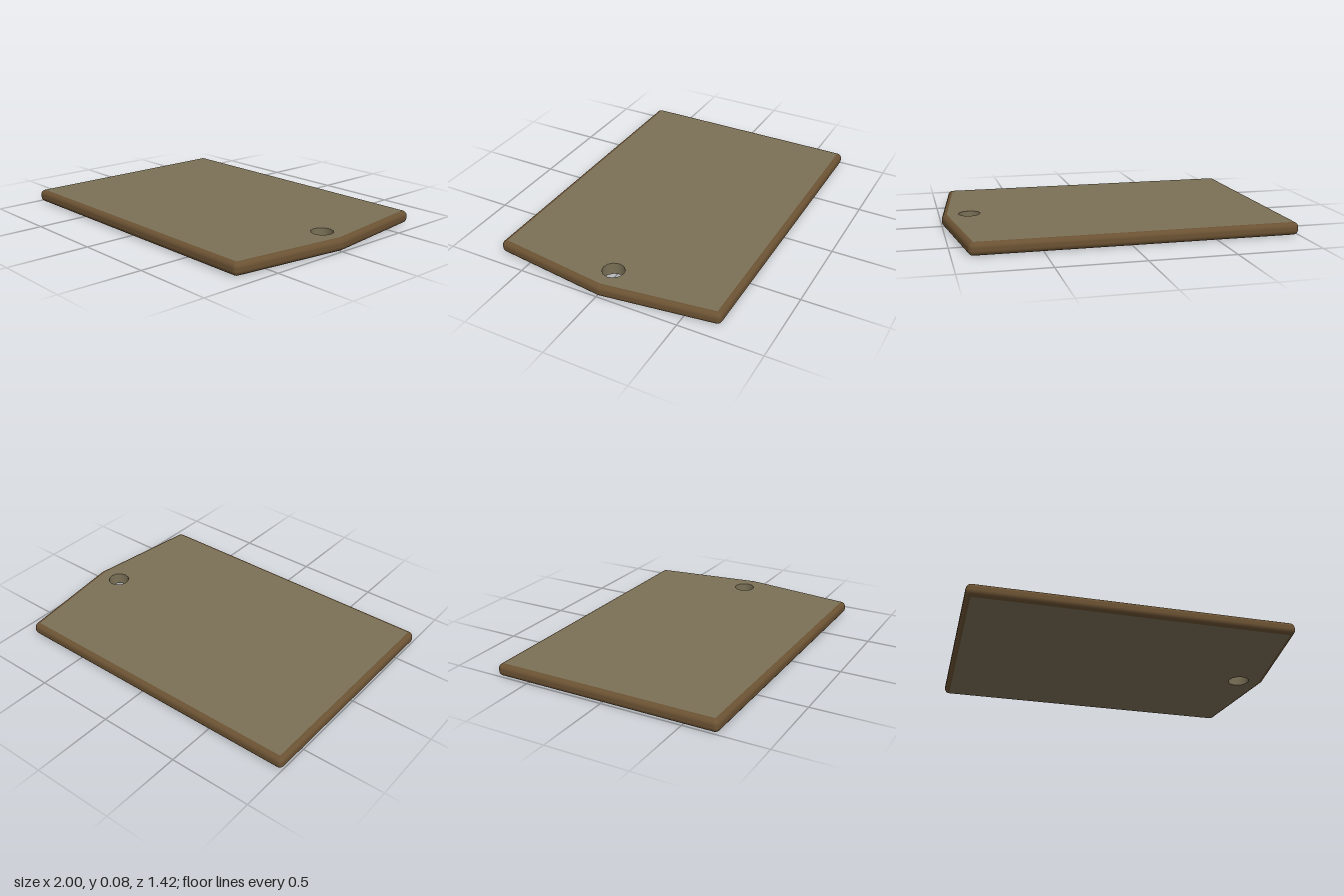
import * as THREE from 'three';

const H = 0.075, R = 0.03;             // board thickness, edge rounding
const HOLE = { x: 0.835, z: -0.015, r: 0.066, sides: 12 };
// Flat face outline as (x, z), inset from the outer edge by R
const OUTLINE = [[0.97, -0.01], [0.88, 0.68], [-0.97, 0.68], [-0.97, -0.68], [0.88, -0.68]];

// Flat face with the hole; side is 1 for the top and -1 for the bottom
function faceGeometry(side) {
  const shape = new THREE.Shape(OUTLINE.map(([x, z]) => new THREE.Vector2(x, -side * z)));
  const hole = [];
  for (let i = 0; i < HOLE.sides; i++) {
    const a = (i / HOLE.sides) * Math.PI * 2;
    hole.push(new THREE.Vector2(HOLE.x + HOLE.r * Math.sin(a), -side * (HOLE.z + HOLE.r * Math.cos(a))));
  }
  shape.holes.push(new THREE.Path(hole));
  const g = new THREE.ShapeGeometry(shape);
  g.rotateX(-side * Math.PI / 2);
  return g.translate(0, side > 0 ? H : 0, 0);
}

// Rounded edge swept around the outline, with rounded corners
function rimGeometry() {
  const n = OUTLINE.length, arc = 5, steps = 4;
  const edgeAngle = (i) => {
    const [x0, z0] = OUTLINE[(i + n) % n], [x1, z1] = OUTLINE[(i + 1) % n];
    return Math.atan2(x0 - x1, z1 - z0);
  };
  const ring = [];
  OUTLINE.forEach(([x, z], i) => {
    const a0 = edgeAngle(i - 1);
    let turn = edgeAngle(i) - a0;
    if (turn < 0) turn += Math.PI * 2;
    for (let k = 0; k <= arc; k++) ring.push([x, z, a0 + turn * k / arc]);
  });
  const profile = [];                   // [tilt, centre height]
  for (let k = 0; k <= steps; k++) profile.push([-Math.PI / 2 * (1 - k / steps), R]);
  for (let k = 0; k <= steps; k++) profile.push([Math.PI / 2 * k / steps, H - R]);

  const pos = [], nor = [], idx = [], m = profile.length;
  ring.forEach(([x, z, a], j) => {
    profile.forEach(([t, y], i) => {
      const nx = Math.cos(a) * Math.cos(t), ny = Math.sin(t), nz = Math.sin(a) * Math.cos(t);
      pos.push(x + R * nx, y + R * ny, z + R * nz);
      nor.push(nx, ny, nz);
      if (i < m - 1) {
        const p = j * m + i, q = ((j + 1) % ring.length) * m + i;
        idx.push(p, p + 1, q, p + 1, q + 1, q);
      }
    });
  });
  const g = new THREE.BufferGeometry();
  g.setAttribute('position', new THREE.Float32BufferAttribute(pos, 3));
  g.setAttribute('normal', new THREE.Float32BufferAttribute(nor, 3));
  g.setIndex(idx);
  return g;
}

export function createModel() {
  const group = new THREE.Group();
  const faceMat = new THREE.MeshStandardMaterial({ color: 0x7a7056 });
  const rimMat = new THREE.MeshStandardMaterial({ color: 0x6b5233 });
  const holeMat = new THREE.MeshStandardMaterial({ color: 0x7a7056, side: THREE.DoubleSide });
  const add = (name, geometry, material) => {
    const mesh = new THREE.Mesh(geometry, material);
    mesh.name = name;
    group.add(mesh);
    return mesh;
  };

  add('topFace', faceGeometry(1), faceMat);
  add('bottomFace', faceGeometry(-1), faceMat);
  add('roundedEdge', rimGeometry(), rimMat);

  // Wall of the hanging hole
  const wall = new THREE.CylinderGeometry(HOLE.r, HOLE.r, H, HOLE.sides, 1, true);
  add('holeWall', wall, holeMat).position.set(HOLE.x, H / 2, HOLE.z);

  return group;
}
